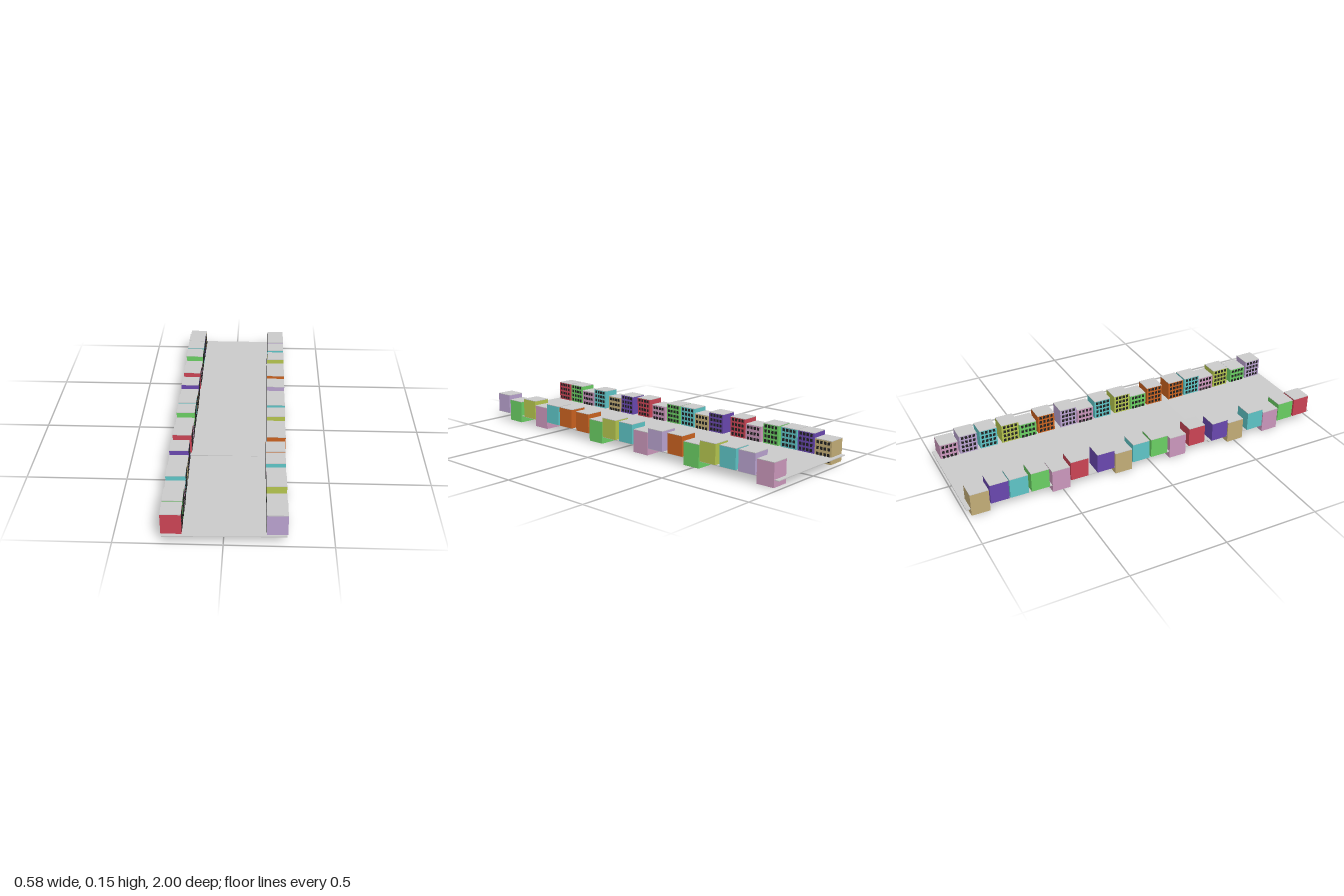
import * as THREE from 'three';
import { mergeGeometries } from 'three/addons/utils/BufferGeometryUtils.js';

const COLORS = {
  red: 0xcc4455, lilac: 0xbaa3d0, green: 0x6bd064, pink: 0xcc98bd, teal: 0x5fc6c8,
  orange: 0xcc6320, olive: 0xb6c64f, violet: 0x6a48b0, tan: 0xc4ae78,
};
const WIDTH = 0.095, ROW_X = 0.238;
const material = (color) => new THREE.MeshStandardMaterial({ color, flatShading: true });
const grey = material(0xcccccc), dark = material(0x222222);
const wall = Object.fromEntries(Object.entries(COLORS).map(([k, c]) => [k, material(c)]));

// Houses from front to back: [colour, z]; sunken ones reach through the road
const LEFT = [
  ['lilac', 0.935], ['green', 0.83], ['olive', 0.71], ['pink', 0.61], ['teal', 0.515], ['orange', 0.41],
  ['orange', 0.27], ['green', 0.165], ['olive', 0.065], ['teal', -0.055], ['pink', -0.16], ['lilac', -0.26],
  ['orange', -0.39], ['green', -0.495], ['olive', -0.595], ['teal', -0.715], ['lilac', -0.825], ['pink', -0.93],
];
const RIGHT = [
  ['red', 0.93], ['green', 0.825], ['pink', 0.725], ['teal', 0.625], ['tan', 0.5], ['violet', 0.4],
  ['red', 0.265], ['pink', 0.15], ['green', 0.04], ['teal', -0.065], ['tan', -0.165], ['violet', -0.265],
  ['red', -0.41], ['pink', -0.51], ['green', -0.62], ['teal', -0.73], ['violet', -0.83], ['tan', -0.93],
];

function box(name, w, h, d, mat, x, y, z) {
  const m = new THREE.Mesh(new THREE.BoxGeometry(w, h, d), mat);
  m.name = name;
  m.position.set(x, y, z);
  return m;
}

// Grid of small panes on one facade
function windowGrid(height) {
  const panes = [];
  for (let row = 0; row < 4; row++)
    for (let col = 0; col < 4; col++)
      panes.push(new THREE.BoxGeometry(0.003, 0.015, 0.013)
        .translate(0, height * (row + 0.55) / 4.1, (col - 1.5) * 0.021));
  return mergeGeometries(panes);
}

function house(color, side, sunken) {
  const g = new THREE.Group();
  g.name = 'house';
  const h = sunken ? 0.12 : 0.105;
  g.add(box('walls', WIDTH, h - 0.003, WIDTH, wall[color], 0, (h - 0.003) / 2, 0));
  g.add(box('roof', WIDTH, 0.003, WIDTH, grey, 0, h - 0.0015, 0));
  const windows = new THREE.Mesh(windowGrid(h), dark);
  windows.name = 'windows';
  windows.position.x = -side * WIDTH / 2; // facing the street
  g.add(windows);
  return g;
}

// A stretch of road with the houses that stand on it
function section(name, z0, z1) {
  const g = new THREE.Group();
  g.name = name;
  const mid = (z0 + z1) / 2;
  g.position.set(0, 0.041, mid);
  g.add(box('road', 0.56, 0.004, z1 - z0, grey, 0, 0, 0));
  for (const [row, side] of [[LEFT, 1], [RIGHT, -1]])
    for (const [color, z] of row) {
      if (z < z0 || z > z1) continue;
      const sunken = color === 'pink' || color === 'tan' || (color === 'green' && side > 0);
      const b = house(color, side, sunken);
      b.position.set(side * ROW_X, sunken ? -0.036 : 0.002, z - mid);
      g.add(b);
    }
  return g;
}

export function createModel() {
  const model = new THREE.Group();
  model.name = 'street';
  const front = section('frontStreet', 0.335, 0.995);
  front.rotation.set(-0.007, 0.014, 0.013); // slightly out of line with the rest
  model.add(front, section('backStreet', -1, 0.335));
  return model;
}
